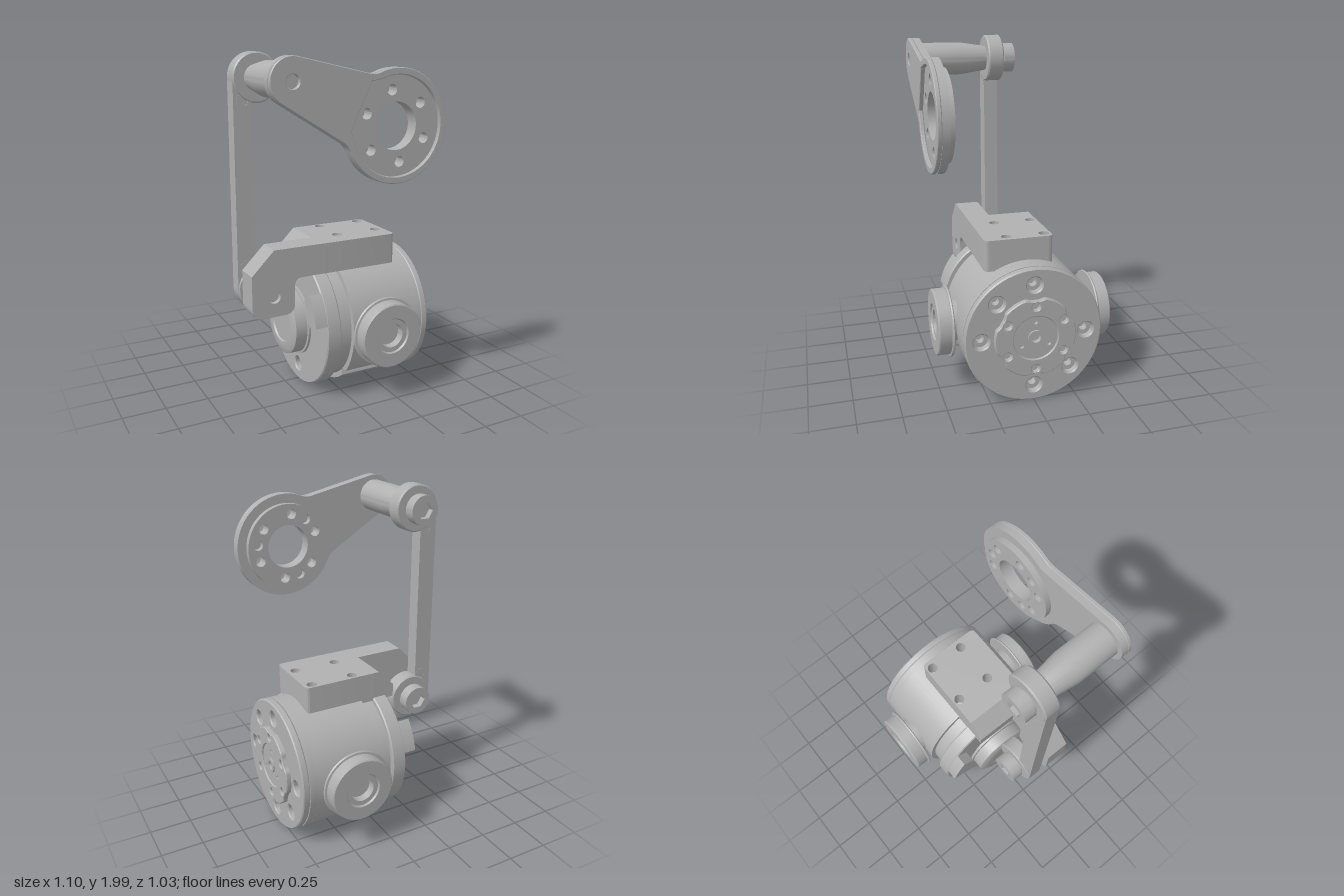
import * as THREE from 'three';
import { toCreasedNormals } from 'three/addons/utils/BufferGeometryUtils.js';

const rad = THREE.MathUtils.degToRad;

export function createModel() {
  const model = new THREE.Group();
  const grey = new THREE.MeshStandardMaterial({ color: 0xb0b0b0 });
  grey.name = 'machined grey';

  const add = (name, geo, x = 0, y = 0, z = 0) => {
    const mesh = new THREE.Mesh(toCreasedNormals(geo, 0.5), grey);
    mesh.name = name;
    mesh.position.set(x, y, z);
    model.add(mesh);
    return mesh;
  };
  const turn = (geo, axis) => {
    if (axis === 'x') geo.rotateY(Math.PI / 2); // shape x becomes -z
    if (axis === 'y') geo.rotateX(-Math.PI / 2); // shape y becomes -z
    return geo;
  };
  // Extrusion from a to b along an axis, with optional small bevel
  const slab = (shape, a, b, axis = 'z', bevel = 0) => {
    const geo = new THREE.ExtrudeGeometry(shape, {
      depth: b - a - 2 * bevel, curveSegments: 32, bevelEnabled: bevel > 0,
      bevelThickness: bevel, bevelSize: bevel, bevelOffset: -bevel, bevelSegments: 1,
    });
    geo.translate(0, 0, a + bevel);
    return turn(geo, axis);
  };
  // Turned part from [radius, position] pairs; axis 'x', 'z' or '-z'
  const turned = (profile, axis) => {
    const geo = new THREE.LatheGeometry(profile.map(([r, h]) => new THREE.Vector2(r, h)), 64);
    if (axis === 'x') return geo.rotateZ(-Math.PI / 2);
    return geo.rotateX(axis === 'z' ? Math.PI / 2 : -Math.PI / 2);
  };
  const disc = (r, x = 0, y = 0) => new THREE.Shape().absarc(x, y, r, 0, Math.PI * 2);
  const hole = (shape, r, x = 0, y = 0) => {
    shape.holes.push(new THREE.Path().absarc(x, y, r, 0, Math.PI * 2, true));
    return shape;
  };
  const holesAt = (shape, angles, ringR, r, cx = 0, cy = 0) => {
    angles.forEach((a) => hole(shape, r, cx + ringR * Math.cos(rad(a)), cy + ringR * Math.sin(rad(a))));
    return shape;
  };
  const poly = (pts) => new THREE.Shape(pts.map(([x, y]) => new THREE.Vector2(x, y)));

  // ---- Motor housing, axis along x ----
  const AY = 0.405;
  const notched = new THREE.Shape();
  notched.absarc(0, 0, 0.4, rad(229.7), rad(220.5 + 360), false);
  notched.lineTo(-0.25, -0.262);
  notched.closePath();
  add('housingBarrel', slab(notched, 0.01, 0.43, 'x'), 0, AY);
  const boltAngles = [0, 45, 90, 180, 225, 270].map((a) => (a === 45 || a === 225 ? a + 90 : a));
  add('housingEnd', slab(holesAt(disc(0.4), boltAngles, 0.305, 0.024), 0.43, 0.475, 'x'), 0, AY);
  add('housingFace', slab(holesAt(disc(0.4), boltAngles, 0.305, 0.045), 0.475, 0.52, 'x', 0.007), 0, AY);
  add('housingGroove', turned([[0, -0.08], [0.37, -0.08], [0.37, 0.02], [0, 0.02]], 'x'), 0, AY);
  add('rearRing', slab(holesAt(disc(0.4), [90, 270], 0.3, 0.042), -0.16, -0.07, 'x', 0.007), 0, AY);

  // Locating tabs on the rear ring
  for (const start of [12, 140]) {
    const tab = new THREE.Shape();
    tab.absarc(0, 0, 0.398, rad(start), rad(start + 28), false);
    tab.absarc(0, 0, 0.31, rad(start + 28), rad(start), true);
    tab.closePath();
    add('rearTab', slab(tab, -0.23, -0.155, 'x'), 0, AY);
  }
  add('rearHub', turned([
    [0, -0.265], [0.12, -0.265], [0.125, -0.275], [0.17, -0.275], [0.198, -0.262], [0.198, -0.19],
    [0.212, -0.188], [0.212, -0.174], [0.17, -0.172], [0.17, -0.155], [0, -0.155]], 'x'), 0, AY);

  // ---- Output flange with scalloped rim ----
  const rim = [];
  for (let i = 0; i < 144; i++) {
    const a = (i / 144) * Math.PI * 2;
    const r = 0.228 + 0.008 * THREE.MathUtils.clamp(3 * Math.cos(6 * a) + 1.5, -1, 1);
    rim.push([r * Math.cos(a), r * Math.sin(a)]);
  }
  const flange = hole(poly(rim), 0.13);
  holesAt(flange, [30, 90, 150, 210, 270, 330], 0.188, 0.024);
  add('outputFlange', slab(flange, 0.515, 0.55, 'x', 0.005), 0, AY);
  add('flangeFloor', slab(holesAt(hole(disc(0.132), 0.03), [90, 210, 330], 0.092, 0.012), 0.515, 0.54, 'x'), 0, AY);
  add('flangeCentre', slab(hole(disc(0.045), 0.028), 0.52, 0.55, 'x'), 0, AY);

  // ---- Side bosses on both flanks ----
  for (const axis of ['z', '-z']) {
    add('sideBoss', turned([
      [0, 0.3], [0.12, 0.3], [0.12, 0.424], [0.205, 0.424], [0.21, 0.43], [0.205, 0.438],
      [0.193, 0.44], [0.193, 0.508], [0.186, 0.515], [0.107, 0.515], [0.1, 0.505],
      [0.072, 0.505], [0.07, 0.46], [0, 0.46]], axis), 0.2, 0.41);
  }

  // ---- Mounting bracket over the housing ----
  const block = new THREE.Shape();
  block.moveTo(-0.11, -0.245);
  block.lineTo(0.34, -0.245);
  block.quadraticCurveTo(0.37, -0.245, 0.37, -0.215);
  block.lineTo(0.37, 0.125);
  block.quadraticCurveTo(0.37, 0.155, 0.34, 0.155);
  block.lineTo(-0.11, 0.155);
  for (const x of [0.053, 0.317]) for (const y of [-0.107, 0.115]) hole(block, 0.03, x, y);
  add('bracketBlock', slab(block, 0.755, 0.935, 'y'));
  add('bracketChamfer', slab(poly([[-0.21, 0.755], [-0.11, 0.755], [-0.11, 0.935], [-0.21, 0.835]]), -0.155, 0.1));

  const LX = -0.415, LOW = 0.66, HIGH = 1.86;
  const arm = new THREE.Shape();
  arm.moveTo(-0.11, 0.935);
  arm.lineTo(LX, 0.935);
  arm.lineTo(-0.55, 0.8);
  arm.lineTo(-0.55, 0.61);
  arm.quadraticCurveTo(-0.55, 0.545, -0.485, 0.545);
  arm.lineTo(-0.355, 0.545);
  arm.quadraticCurveTo(-0.29, 0.545, -0.29, 0.61);
  arm.lineTo(-0.29, 0.705);
  arm.quadraticCurveTo(-0.29, 0.755, -0.24, 0.755);
  arm.lineTo(-0.11, 0.755);
  hole(arm, 0.036, LX, LOW);
  add('bracketArm', slab(arm, 0.1, 0.245));
  add('lowerPivotPin', turned([[0, 0.03], [0.075, 0.03], [0.075, 0.105], [0.036, 0.105], [0.036, 0.215], [0, 0.215]], 'z'), LX, LOW);

  // ---- Vertical link with an eye, lug and socket bolt at each end ----
  add('linkBar', new THREE.BoxGeometry(0.107, HIGH - LOW, 0.084), -0.4985, (HIGH + LOW) / 2, -0.003);
  const hex = Array.from({ length: 6 }, (_, i) =>
    new THREE.Vector2(0.052 * Math.cos(rad(60 * i)), 0.052 * Math.sin(rad(60 * i))));
  for (const [y, lugY] of [[LOW, 0.79], [HIGH, 1.73]]) {
    add('linkEye', turned([[0, -0.05], [0.13, -0.05], [0.138, -0.042], [0.138, 0.037], [0.13, 0.045], [0, 0.045]], 'z'), LX, y);
    add('linkLug', slab(hole(disc(0.045), 0.02), -0.046, 0.041), -0.49, lugY);
    add('boltShank', turned([[0, -0.09], [0.088, -0.09], [0.088, -0.062], [0.075, -0.06], [0.075, -0.045], [0, -0.045]], 'z'), LX, y);
    const head = disc(0.088);
    head.holes.push(new THREE.Path(hex.slice().reverse()));
    add('boltHead', slab(head, -0.13, -0.09), LX, y);
  }

  // ---- Tapered rod joining link and crank ----
  add('crankRod', turned([[0, 0.04], [0.072, 0.04], [0.078, 0.08], [0.096, 0.2], [0.096, 0.45], [0, 0.45]], 'z'), LX, HIGH);

  // ---- Crank plate ----
  const CX = 0.2, CY = 1.61;
  const crank = () => {
    const s = new THREE.Shape();
    s.absarc(CX, CY, 0.31, rad(203), rad(360 + 113), false);
    s.quadraticCurveTo(0.05, 1.885, 0.01, 1.895); // blended necks
    s.absarc(LX, HIGH, 0.125, rad(77), rad(238), false);
    s.lineTo(-0.13, 1.54);
    s.quadraticCurveTo(-0.1, 1.52, CX + 0.31 * Math.cos(rad(203)), CY + 0.31 * Math.sin(rad(203)));
    return s;
  };
  const six = [38, 98, 158, 218, 278, 338];
  add('crankBase', slab(holesAt(hole(crank(), 0.13, CX, CY), six, 0.195, 0.03, CX, CY), 0.445, 0.487));
  const top = hole(crank(), 0.036, LX, HIGH);
  const recess = new THREE.Path();
  recess.absarc(CX, CY, 0.272, rad(202), rad(360 + 112), false);
  recess.lineTo(0.035, 1.85);
  recess.lineTo(-0.085, 1.6);
  recess.closePath();
  top.holes.push(recess);
  add('crankRim', slab(top, 0.487, 0.512, 'z', 0.004));
  const rear = holesAt(hole(disc(0.256, CX, CY), 0.13, CX, CY), six, 0.195, 0.03, CX, CY);
  add('crankRearDisc', slab(holesAt(rear, [8, 128, 248], 0.195, 0.03, CX, CY), 0.41, 0.445));

  return model;
}
